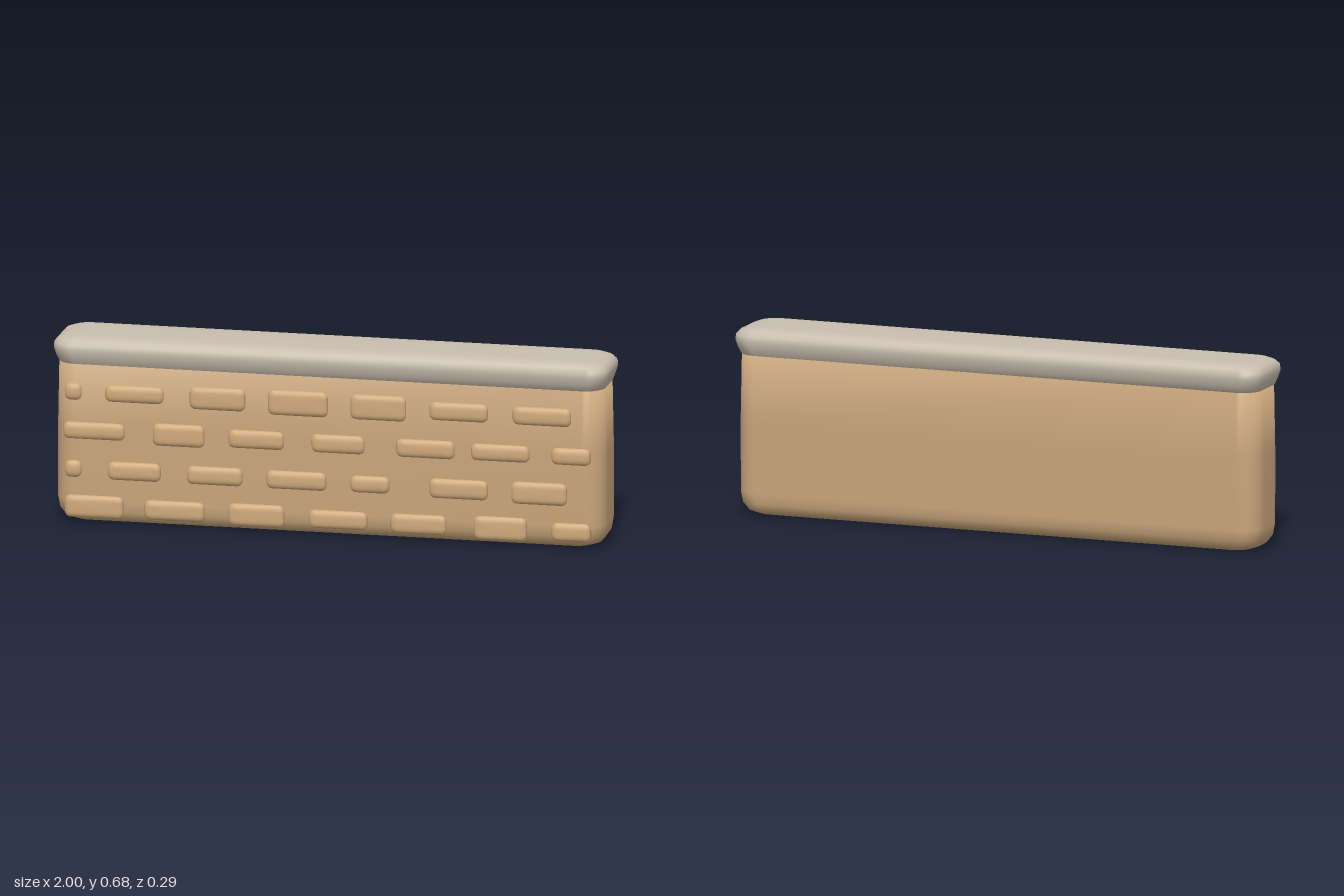
import * as THREE from 'three';

// Stacks rounded-rectangle rings [y, halfX, halfZ, cornerRadius] into a closed, smooth solid.
function loft(rings, steps = 6) {
  const pos = [], index = [];
  const n = 4 * (steps + 1);
  for (const [y, hx, hz, radius] of rings) {
    const r = Math.min(radius, hx, hz);
    for (let k = 0; k < 4; k++) {
      const cx = (k === 0 || k === 3 ? 1 : -1) * (hx - r);
      const cz = (k < 2 ? 1 : -1) * (hz - r);
      for (let s = 0; s <= steps; s++) {
        const t = (k + s / steps) * Math.PI / 2;
        pos.push(cx + r * Math.cos(t), y, cz + r * Math.sin(t));
      }
    }
  }
  const last = rings.length - 1;
  const bottom = rings.length * n, top = bottom + 1;
  pos.push(0, rings[0][0], 0, 0, rings[last][0], 0);
  for (let j = 0; j < n; j++) {
    const k = (j + 1) % n;
    for (let i = 0; i < last; i++) {
      const a = i * n + j, b = i * n + k;
      index.push(a, a + n, b, b, a + n, b + n);
    }
    index.push(bottom, j, k, top, last * n + k, last * n + j);
  }
  const g = new THREE.BufferGeometry();
  g.setAttribute('position', new THREE.Float32BufferAttribute(pos, 3));
  g.setIndex(index);
  g.computeVertexNormals();
  return g;
}

// Brick rows: height of the row, then [x, width, height] for each brick
const ROWS = [
  [0.065, [[-0.845, 0.21, 0.08], [-0.555, 0.215, 0.07], [-0.26, 0.2, 0.08], [0.035, 0.21, 0.065],
    [0.325, 0.2, 0.07], [0.62, 0.19, 0.085], [0.875, 0.14, 0.065]]],
  [0.2, [[-0.92, 0.06, 0.06], [-0.7, 0.19, 0.065], [-0.41, 0.2, 0.065], [-0.115, 0.215, 0.065],
    [0.15, 0.14, 0.06], [0.47, 0.21, 0.07], [0.76, 0.2, 0.08]]],
  [0.34, [[-0.845, 0.22, 0.06], [-0.54, 0.185, 0.08], [-0.26, 0.2, 0.065], [0.035, 0.19, 0.065],
    [0.35, 0.21, 0.065], [0.62, 0.21, 0.06], [0.875, 0.14, 0.06]]],
  [0.48, [[-0.92, 0.06, 0.06], [-0.7, 0.21, 0.06], [-0.4, 0.2, 0.08], [-0.11, 0.215, 0.09],
    [0.18, 0.2, 0.09], [0.47, 0.21, 0.065], [0.77, 0.21, 0.065]]],
];

export function createModel() {
  const material = (name, color) => {
    const m = new THREE.MeshStandardMaterial({ color });
    m.name = name;
    return m;
  };
  const plaster = material('tan plaster', 0xcaa67c);
  const brickTan = material('brick tan', 0xd0aa7c);
  const stone = material('pale stone', 0xc9beae);

  const wall = new THREE.Group();
  wall.name = 'wall';
  const add = (name, geometry, mat, parent = wall) => {
    const mesh = new THREE.Mesh(geometry, mat);
    mesh.name = name;
    parent.add(mesh);
    return mesh;
  };

  // Wall body, rounded at the foot
  add('body', loft([
    [0, 0.89, 0.045, 0.04],
    [0.005, 0.935, 0.075, 0.06],
    [0.017, 0.965, 0.1, 0.07],
    [0.045, 0.984, 0.115, 0.075],
    [0.085, 0.99, 0.121, 0.075],
    [0.35, 0.99, 0.122, 0.075],
    [0.6, 0.985, 0.122, 0.075],
  ]), plaster);

  // Coping stone, flaring out from the body
  add('coping', loft([
    [0.578, 0.978, 0.117, 0.07],
    [0.58, 0.985, 0.124, 0.07],
    [0.605, 0.993, 0.136, 0.07],
    [0.63, 1, 0.143, 0.07],
    [0.65, 0.998, 0.142, 0.07],
    [0.665, 0.985, 0.131, 0.07],
    [0.674, 0.962, 0.112, 0.06],
    [0.678, 0.92, 0.08, 0.05],
  ]), stone);

  // Raised bricks on the front face
  const bricks = new THREE.Group();
  bricks.name = 'bricks';
  wall.add(bricks);
  for (const [y, row] of ROWS) {
    for (const [x, w, h] of row) {
      const hx = w / 2, hy = h / 2;
      const g = loft([
        [0.1, hx, hy, 0.02],
        [0.125, hx, hy, 0.02],
        [0.131, hx - 0.003, hy - 0.004, 0.019],
        [0.135, hx - 0.01, hy - 0.011, 0.015],
        [0.137, hx - 0.02, hy - 0.02, 0.01],
      ], 4);
      g.rotateX(Math.PI / 2);
      add('brick', g, brickTan, bricks).position.set(x, y, 0);
    }
  }
  return wall;
}
